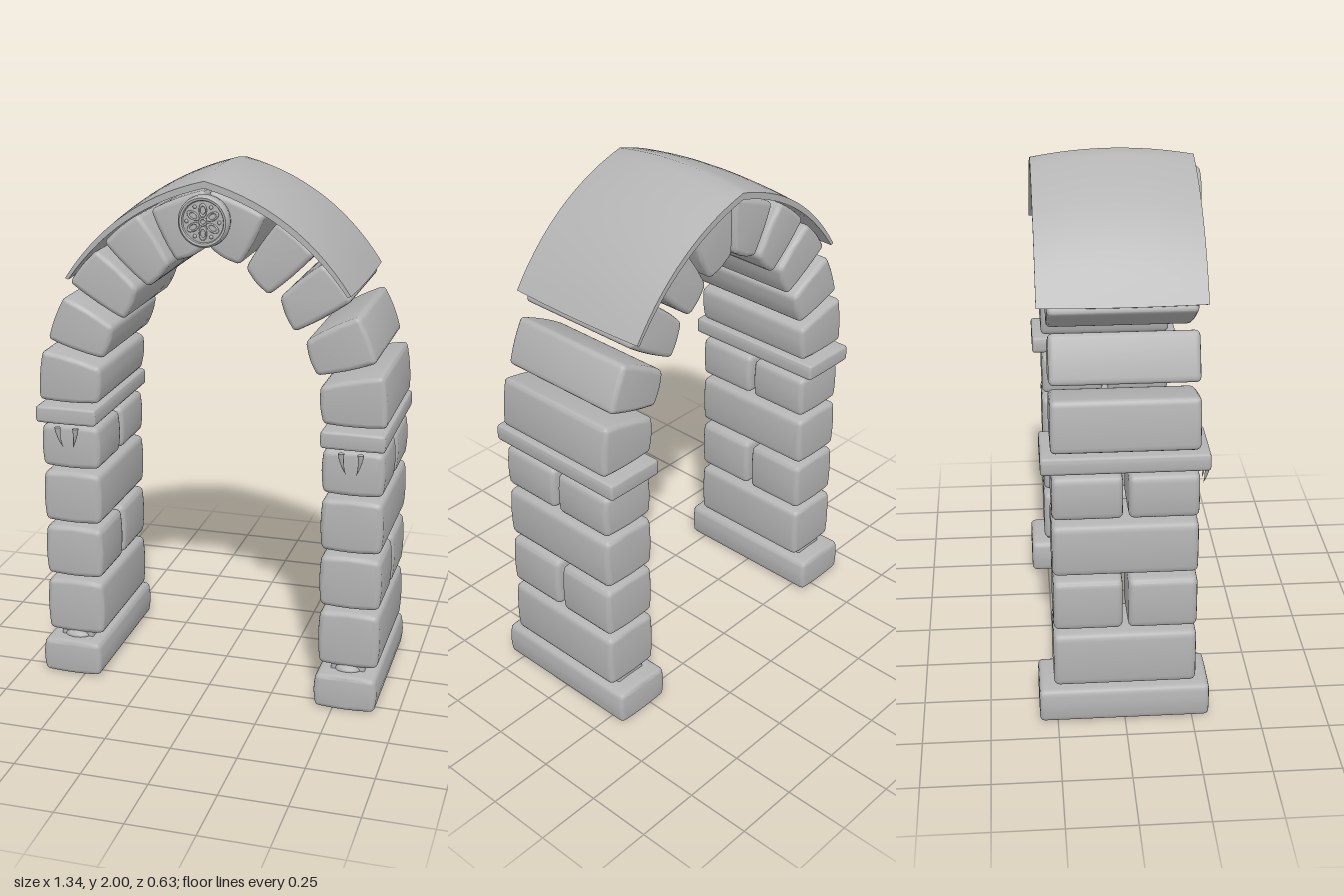
import * as THREE from 'three';
import { toCreasedNormals } from 'three/addons/utils/BufferGeometryUtils.js';

const stoneMat = new THREE.MeshStandardMaterial({ color: 0xb4b4b4 });
stoneMat.name = 'stone grey';

function add(parent, name, geometry, x = 0, y = 0, z = 0) {
  const mesh = new THREE.Mesh(geometry, stoneMat);
  mesh.name = name;
  mesh.position.set(x, y, z);
  parent.add(mesh);
  return mesh;
}

// Polygon with rounded corners and slightly bowed sides
function stoneShape(corners, radius, bow) {
  const pts = corners.map(([x, y]) => new THREE.Vector2(x, y));
  const n = pts.length;
  const centre = pts.reduce((s, p) => s.add(p), new THREE.Vector2()).divideScalar(n);
  const shape = new THREE.Shape();
  for (let i = 0; i < n; i++) {
    const p = pts[i], next = pts[(i + 1) % n], prev = pts[(i + n - 1) % n];
    const toward = (a, b) => a.clone().add(b.clone().sub(a).setLength(radius));
    const start = toward(p, prev), end = toward(p, next), sideEnd = toward(next, p);
    if (i === 0) shape.moveTo(start.x, start.y);
    shape.quadraticCurveTo(p.x, p.y, end.x, end.y);
    const mid = p.clone().add(next).multiplyScalar(0.5);
    mid.add(mid.clone().sub(centre).setLength(bow * 2));
    shape.quadraticCurveTo(mid.x, mid.y, sideEnd.x, sideEnd.y);
  }
  return shape;
}

// Rounded stone running from z0 to z1
function stone(parent, name, corners, z0, z1, bevel = 0.018, bow = 0.004) {
  const geometry = new THREE.ExtrudeGeometry(stoneShape(corners, bevel * 1.4, bow), {
    depth: z1 - z0 - bevel * 2, bevelThickness: bevel, bevelSize: bevel,
    bevelOffset: -bevel, bevelSegments: 3, curveSegments: 4,
  });
  geometry.translate(0, 0, z0 + bevel);
  return add(parent, name, toCreasedNormals(geometry, 0.6));
}

const rect = (x0, x1, y0, y1) => [[x0, y0], [x1, y0], [x1, y1], [x0, y1]];

// Curved tusk that tapers to a point
function tuskGeometry(side) {
  const g = new THREE.ConeGeometry(0.012, 0.085, 10, 8);
  g.rotateX(Math.PI);
  const p = g.attributes.position;
  for (let i = 0; i < p.count; i++) {
    const t = 0.5 - p.getY(i) / 0.085;
    p.setX(i, p.getX(i) - side * 0.018 * t * t);
    p.setZ(i, p.getZ(i) - 0.012 * t * t);
  }
  g.computeVertexNormals();
  return g;
}

function buildPillar(side) {
  const pillar = new THREE.Group();
  pillar.name = side > 0 ? 'leftPillar' : 'rightPillar';
  const box = (x0, x1, y0, y1) => rect(side * x0, side * x1, y0, y1);
  stone(pillar, 'base', box(0.43, 0.663, 0, 0.135), -0.317, 0.313);
  stone(pillar, 'mortar', box(0.48, 0.61, 0.125, 0.165), -0.25, 0.25, 0.008, 0);
  add(pillar, 'baseBump', new THREE.SphereGeometry(1, 16, 8), side * 0.545, 0.14, 0.24).scale.set(0.05, 0.022, 0.035);

  // Courses alternate between one long block and two short ones
  const courses = [[0.155, 0.372], [0.395, 0.597], [0.62, 0.822], [0.845, 1.013]];
  courses.forEach(([y0, y1], i) => {
    const spans = i % 2 ? [[-0.26, -0.01], [0.01, 0.26]] : [[-0.262, 0.26]];
    for (const [z0, z1] of spans) stone(pillar, 'block', box(0.432, 0.66, y0, y1), z0, z1, 0.02);
  });
  stone(pillar, 'ledge', box(0.43, 0.668, 1.03, 1.095), -0.298, 0.295, 0.01, 0.001);

  // Pair of tusks below the ledge
  for (const s of [-1, 1]) add(pillar, 'tusk', tuskGeometry(s), side * 0.545 + s * 0.036, 0.975, 0.293);
  return pillar;
}

function buildArchHalf(side) {
  const half = new THREE.Group();
  half.name = side > 0 ? 'leftArchStones' : 'rightArchStones';
  const wedges = [
    [[0.65, 1.305], [0.415, 1.25], [0.428, 1.108], [0.668, 1.108]],
    [[0.555, 1.518], [0.358, 1.412], [0.403, 1.285], [0.625, 1.348]],
    [[0.422, 1.7], [0.262, 1.564], [0.318, 1.44], [0.532, 1.57]],
    [[0.257, 1.84], [0.137, 1.662], [0.223, 1.568], [0.395, 1.728]],
    [[0.006, 1.938], [0.006, 1.725], [0.118, 1.67], [0.214, 1.856]],
  ];
  wedges.forEach((corners, i) => stone(half, i === 4 ? 'keystoneHalf' : 'archStone',
    corners.map(([x, y]) => [side * x, y]), -0.262, 0.26));
  return half;
}

// Pointed curved shell above the stones, swelling towards its middle
function canopyGeometry() {
  const shape = new THREE.Shape();
  shape.moveTo(-0.53, 1.595);
  shape.quadraticCurveTo(-0.335, 1.89, 0, 1.972);
  shape.quadraticCurveTo(0.335, 1.89, 0.53, 1.595);
  shape.lineTo(0.518, 1.59);
  shape.quadraticCurveTo(0.32, 1.866, 0, 1.947);
  shape.quadraticCurveTo(-0.32, 1.866, -0.518, 1.59);
  shape.closePath();
  const g = new THREE.ExtrudeGeometry(shape, { depth: 0.59, steps: 12, curveSegments: 14, bevelEnabled: false });
  g.translate(0, 0, -0.298);
  const p = g.attributes.position;
  for (let i = 0; i < p.count; i++) {
    const swell = 1 - ((p.getZ(i) + 0.003) / 0.295) ** 2;
    p.setX(i, p.getX(i) * (1 + 0.012 * swell));
    p.setY(i, p.getY(i) + swell * (0.028 * (p.getY(i) - 1.59) / 0.38 - 0.004 * Math.abs(p.getX(i))));
  }
  return toCreasedNormals(g, 1.0);
}

// Round boss with a raised rim and six-petalled rosette
function buildMedallion() {
  const medallion = new THREE.Group();
  medallion.name = 'medallion';
  const profile = [[0, 0], [0.09, 0], [0.094, 0.02], [0.092, 0.042], [0.085, 0.049],
    [0.077, 0.047], [0.074, 0.04], [0, 0.042]].map(([x, y]) => new THREE.Vector2(x, y));
  const disc = new THREE.LatheGeometry(profile, 40);
  disc.rotateX(Math.PI / 2);
  add(medallion, 'disc', toCreasedNormals(disc, 0.7));
  add(medallion, 'rosetteCentre', new THREE.TorusGeometry(0.012, 0.004, 6, 16), 0, 0, 0.043);
  for (let i = 0; i < 6; i++) {
    const a = Math.PI / 2 + i * Math.PI / 3;
    const petal = add(medallion, 'petal', new THREE.TorusGeometry(0.014, 0.004, 6, 16),
      Math.cos(a) * 0.041, Math.sin(a) * 0.041, 0.043);
    petal.rotation.z = a;
    petal.scale.set(1.4, 0.85, 1);
    const b = a + Math.PI / 6;
    add(medallion, 'bead', new THREE.SphereGeometry(0.007, 8, 6), Math.cos(b) * 0.06, Math.sin(b) * 0.06, 0.042);
  }
  medallion.position.set(0, 1.832, 0.265);
  return medallion;
}

export function createModel() {
  const model = new THREE.Group();
  model.name = 'stoneArchway';
  for (const side of [-1, 1]) model.add(buildPillar(side), buildArchHalf(side));
  add(model, 'canopy', canopyGeometry());
  model.add(buildMedallion());
  return model;
}
